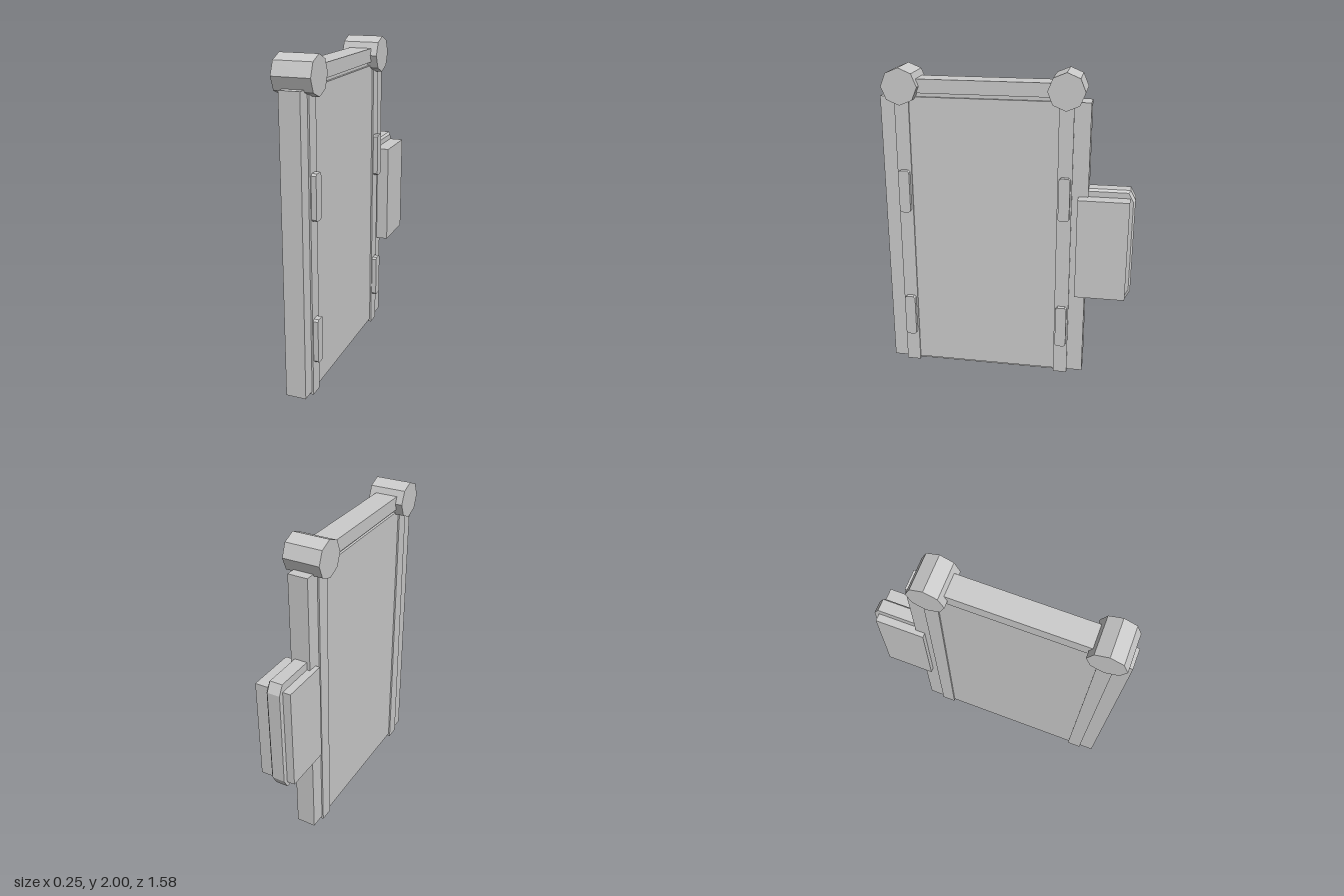
import * as THREE from 'three';

export function createModel() {
  const root = new THREE.Group();
  const mat = new THREE.MeshStandardMaterial({ color: 0xcccccc, flatShading: true });

  function add(name, geometry) {
    const mesh = new THREE.Mesh(geometry, mat);
    mesh.name = name;
    root.add(mesh);
    return mesh;
  }

  // Box given by its limits along each axis
  function box(name, [x0, x1], [y0, y1], [z0, z1]) {
    const mesh = add(name, new THREE.BoxGeometry(x1 - x0, y1 - y0, z1 - z0));
    mesh.position.set((x0 + x1) / 2, (y0 + y1) / 2, (z0 + z1) / 2);
  }

  // Side profile of [z, y] points, extruded along x from x0 to x1
  function sideExtrude(points, x0, x1) {
    const shape = new THREE.Shape(points.map(([z, y]) => new THREE.Vector2(-z, y)));
    const geo = new THREE.ExtrudeGeometry(shape, { depth: x1 - x0, bevelEnabled: false });
    return geo.rotateY(Math.PI / 2).translate(x0, 0, 0);
  }

  // Door slab, with a thinner core filling the gaps above and below it
  box('doorPanel', [-0.075, 0.05], [0.02, 1.82], [-0.5, 0.79]);
  box('doorCore', [-0.06, 0.035], [0.003, 1.85], [-0.33, 0.63]);
  box('topBar', [-0.085, 0.06], [1.845, 1.93], [-0.36, 0.65]);

  // Upright rails, each with an end roller and two raised pads
  for (const [side, z] of [['front', 0.655], ['back', -0.355]]) {
    box(side + 'Rail', [-0.085, 0.06], [0, 1.85], [z - 0.045, z + 0.045]);

    const roller = add(side + 'Roller', new THREE.CylinderGeometry(0.113, 0.113, 0.23, 8));
    roller.rotation.z = Math.PI / 2;
    roller.position.set(-0.014, 1.887, z);

    for (const [level, y0, y1] of [['Lower', 0.21, 0.488], ['Upper', 1.085, 1.36]]) {
      const a = z - 0.035, b = z + 0.035, c = 0.012;
      add(side + level + 'Pad', sideExtrude([
        [b - c, y0], [a + c, y0], [a, y0 + c], [a, y1 - c],
        [a + c, y1], [b - c, y1], [b, y1 - c], [b, y0 + c],
      ], 0.05, 0.09));
    }
  }

  // Rear lock: thick block around a thinner plate with cut corners
  box('lockBlock', [-0.105, 0.125], [0.595, 1.24], [-0.755, -0.44]);
  const plate = [
    [-0.48, 0.56], [-0.755, 0.56], [-0.787, 0.62],
    [-0.787, 1.23], [-0.755, 1.29], [-0.48, 1.29],
  ];
  add('lockPlate', sideExtrude(plate, -0.055, 0.025));

  // Bevel on one face of the plate: pull its outer outline inwards
  const bevel = sideExtrude(plate, 0.025, 0.037);
  const pos = bevel.attributes.position;
  for (let i = 0; i < pos.count; i++) {
    if (pos.getX(i) < 0.03) continue;
    pos.setY(i, 0.925 + (pos.getY(i) - 0.925) * 0.959);
    pos.setZ(i, -0.48 + (pos.getZ(i) + 0.48) * 0.96);
  }
  bevel.computeVertexNormals();
  add('lockPlateBevel', bevel);

  return root;
}
